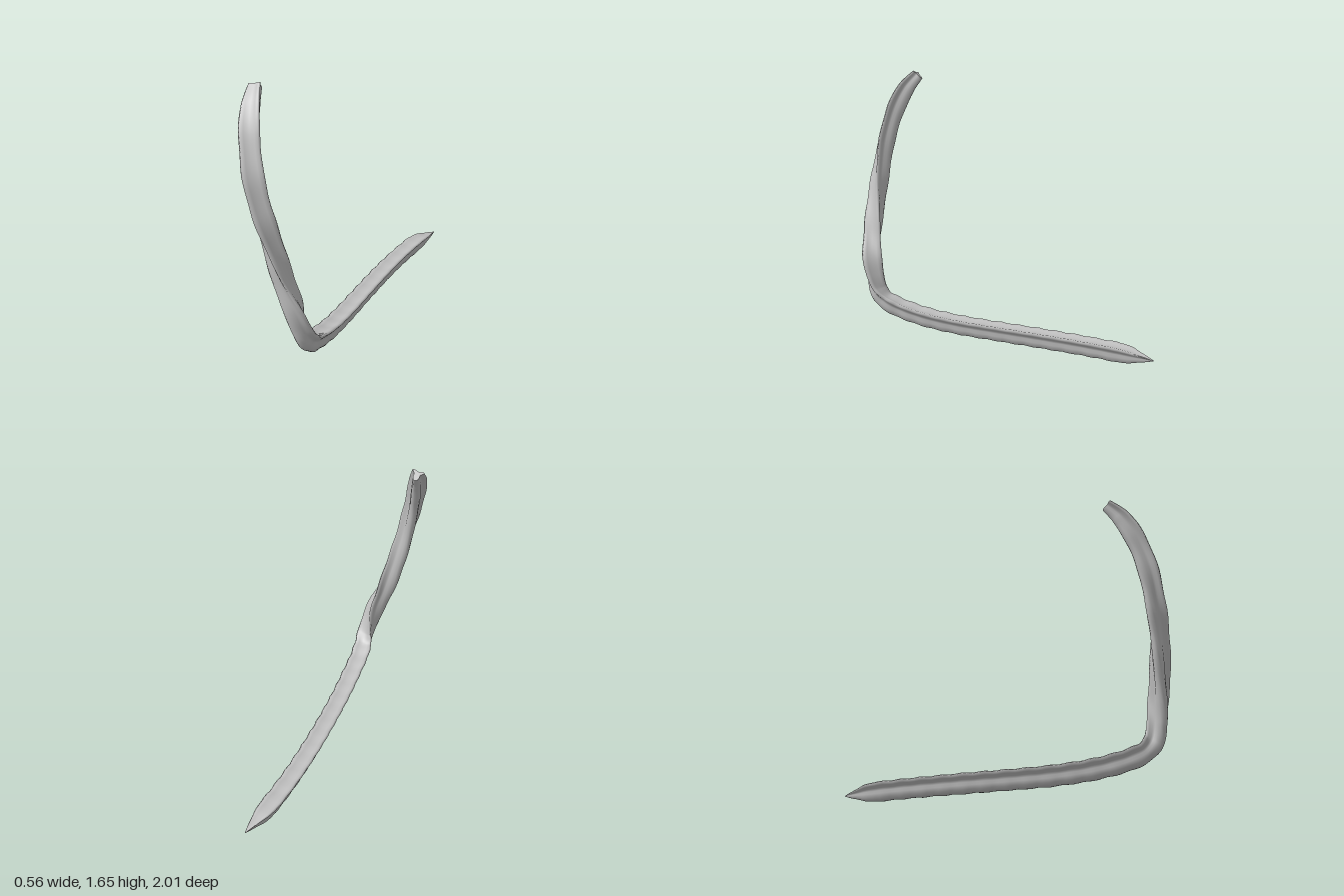
import * as THREE from 'three';

// Centre line stations: x, y, z, section scale, twist in degrees
const STATIONS = [
  [-0.23, 0.07, -1.0, 0.03, 0],
  [-0.225, 0.067, -0.9, 0.56, 0],
  [-0.22, 0.064, -0.79, 0.98, 0],
  [-0.18, 0.063, -0.55, 1, 0],
  [-0.115, 0.063, -0.27, 1.02, 0],
  [-0.04, 0.065, 0.0, 1.02, 0],
  [0.045, 0.073, 0.28, 1.03, 0],
  [0.115, 0.096, 0.5, 1.04, 0],
  [0.17, 0.137, 0.68, 1.04, 0],
  [0.202, 0.178, 0.765, 1, 0],
  [0.216, 0.235, 0.82, 0.97, -15],
  [0.209, 0.33, 0.855, 1.02, -38],
  [0.188, 0.45, 0.881, 1.04, -60],
  [0.132, 0.62, 0.908, 1.03, -84],
  [0.075, 0.82, 0.929, 1, -107],
  [0.026, 1.0, 0.939, 0.98, -130],
  [-0.02, 1.2, 0.931, 0.99, -148],
  [-0.07, 1.4, 0.886, 1, -160],
  [-0.113, 1.54, 0.822, 0.93, -168],
  [-0.15, 1.625, 0.755, 0.62, -175],
];
const RINGS_PER_SPAN = 8;

// Right half of the three-ribbed section, from the top groove down to the keel
const HALF = [[0, 0.036], [0.03, 0.044], [0.05, 0.049], [0.06, 0.04], [0.048, 0.026],
  [0.034, 0.014], [0.029, 0], [0.031, -0.018], [0.025, -0.041], [0.013, -0.055], [0, -0.058]];

function makeSection() {
  const left = HALF.slice(1).map(([x, y]) => [-x, y]);
  return left.concat(HALF.slice(0, -1).reverse());
}

function makeStalk() {
  const curve = new THREE.CatmullRomCurve3(
    STATIONS.map(([x, y, z]) => new THREE.Vector3(x, y, z)), false, 'centripetal');
  const section = makeSection();
  const n = section.length;
  const spans = STATIONS.length - 1;
  const rings = spans * RINGS_PER_SPAN;
  const pos = [], index = [];
  const up = new THREE.Vector3(0, 1, 0);
  const side = new THREE.Vector3();
  let last = null, travelled = 0;

  for (let i = 0; i <= rings; i++) {
    const t = i / rings;
    const p = curve.getPoint(t);
    const dir = curve.getTangent(t);
    if (last) travelled += p.distanceTo(last);
    last = p;
    // carry the frame along the curve without spin
    up.addScaledVector(dir, -up.dot(dir)).normalize();
    side.crossVectors(up, dir);

    const k = Math.min(Math.floor(t * spans), spans - 1);
    const f = t * spans - k;
    const mix = (c) => THREE.MathUtils.lerp(STATIONS[k][c], STATIONS[k + 1][c], f);
    // close ripples on the lying half, slow ones on the raised half
    const ripple = p.y < 0.25
      ? 0.045 * Math.sin(travelled * 2 * Math.PI / 0.125)
      : 0.035 * Math.sin(travelled * 2 * Math.PI / 0.26);
    const scale = mix(3) * (1 + ripple);
    const twist = THREE.MathUtils.degToRad(mix(4));
    const c = Math.cos(twist) * scale, s = Math.sin(twist) * scale;
    for (const [x, y] of section) {
      const v = p.clone()
        .addScaledVector(side, x * c - y * s)
        .addScaledVector(up, x * s + y * c);
      pos.push(v.x, v.y, v.z);
    }
  }
  for (let i = 0; i < rings; i++) {
    for (let j = 0; j < n; j++) {
      const a = i * n + j, b = i * n + (j + 1) % n;
      index.push(a, b, a + n, b, b + n, a + n);
    }
  }
  const body = new THREE.BufferGeometry();
  body.setAttribute('position', new THREE.Float32BufferAttribute(pos, 3));
  body.setIndex(index);
  body.computeVertexNormals();

  // cut end at the top, with its own flat normals
  const rim = pos.slice(rings * n * 3);
  const capIndex = [];
  for (let j = 0; j < n; j++) capIndex.push(n, j, (j + 1) % n);
  const cap = new THREE.BufferGeometry();
  cap.setAttribute('position', new THREE.Float32BufferAttribute([...rim, last.x, last.y, last.z], 3));
  cap.setIndex(capIndex);
  cap.computeVertexNormals();
  return { body, cap };
}

export function createModel() {
  const grey = new THREE.MeshStandardMaterial({ color: 0xc0c0c0 });
  grey.name = 'pale grey';
  const group = new THREE.Group();
  group.name = 'bentStalk';
  const { body, cap } = makeStalk();
  const stalk = new THREE.Mesh(body, grey);
  stalk.name = 'groovedStalk';
  const end = new THREE.Mesh(cap, grey);
  end.name = 'cutEnd';
  group.add(stalk, end);
  return group;
}
